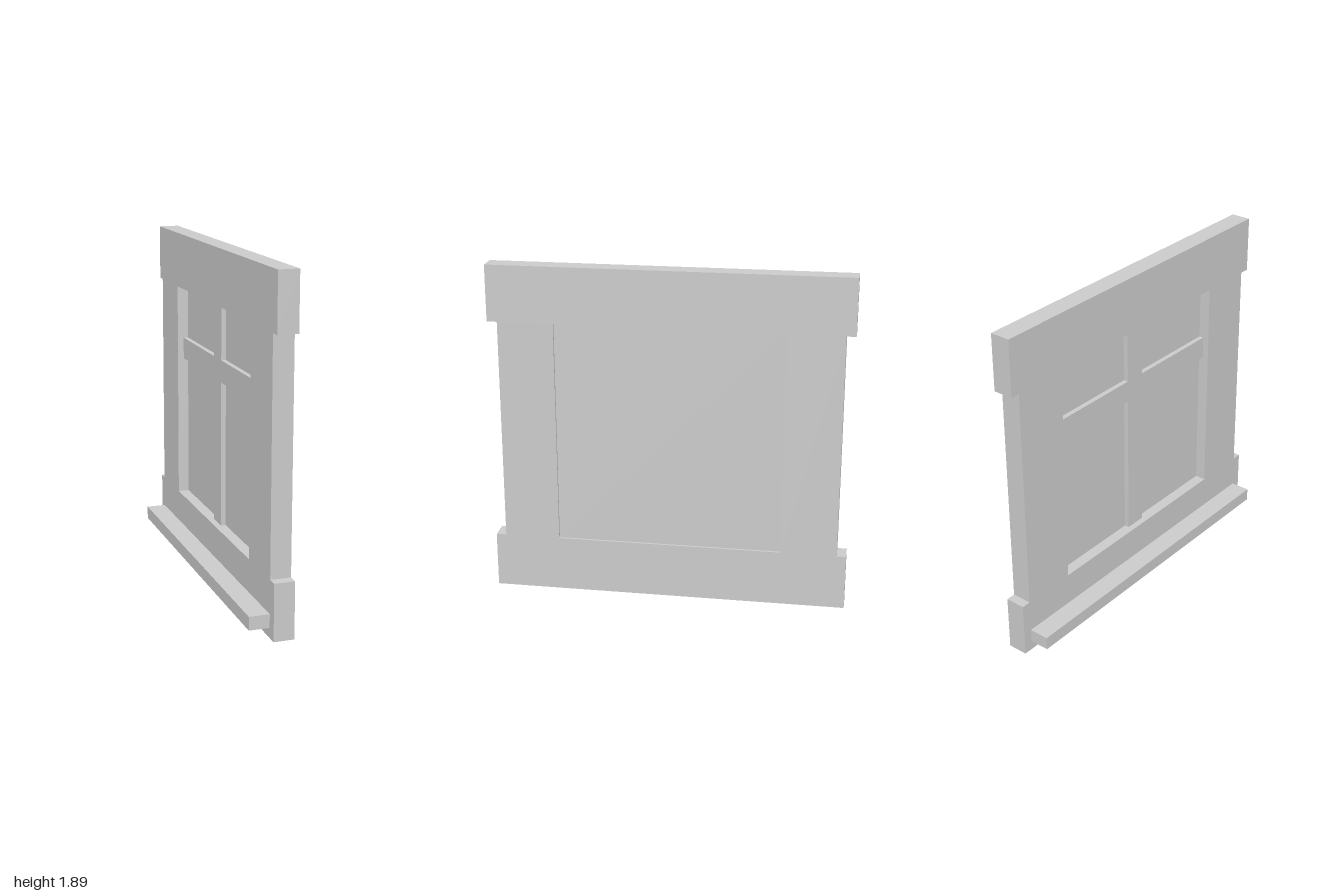
import * as THREE from 'three';

// Window in a flat timber surround; the wall plane lies along z, the sill points to -x.
export function createModel() {
  const group = new THREE.Group();
  group.name = 'window';
  const material = new THREE.MeshStandardMaterial({ color: 0xcccccc, flatShading: true });

  // Box given by its lower and upper limits on each axis
  function block(name, [x0, x1], [y0, y1], [z0, z1]) {
    const mesh = new THREE.Mesh(new THREE.BoxGeometry(x1 - x0, y1 - y0, z1 - z0), material);
    mesh.position.set((x0 + x1) / 2, (y0 + y1) / 2, (z0 + z1) / 2);
    mesh.name = name;
    group.add(mesh);
  }

  const frameX = [0, 0.113];
  const openY = [0.315, 1.578];
  const openZ = [-0.636, 0.63];

  // Surround: wide rails above and below, narrower jambs between
  block('bottomRail', frameX, [0, openY[0]], [-1, 1]);
  block('header', frameX, [openY[1], 1.893], [-1, 1]);
  block('frontJamb', frameX, openY, [openZ[1], 0.943]);
  block('backJamb', frameX, openY, [-0.948, openZ[0]]);

  // Projecting sill
  block('sill', [-0.113, 0], [0.055, 0.13], [-0.948, 0.943]);

  // Pane set back in the opening
  const paneX = [0.063, 0.1];
  block('pane', paneX, openY, openZ);

  // Glazing bars: a full-width crossbar with uprights above and below it
  const barX = [0.036, paneX[0]];
  const crossY = [1.143, 1.268];
  const uprightZ = [-0.064, 0.062];
  block('crossbar', barX, crossY, openZ);
  block('lowerUpright', barX, [openY[0], crossY[0]], uprightZ);
  block('upperUpright', barX, [crossY[1], openY[1]], uprightZ);

  return group;
}
